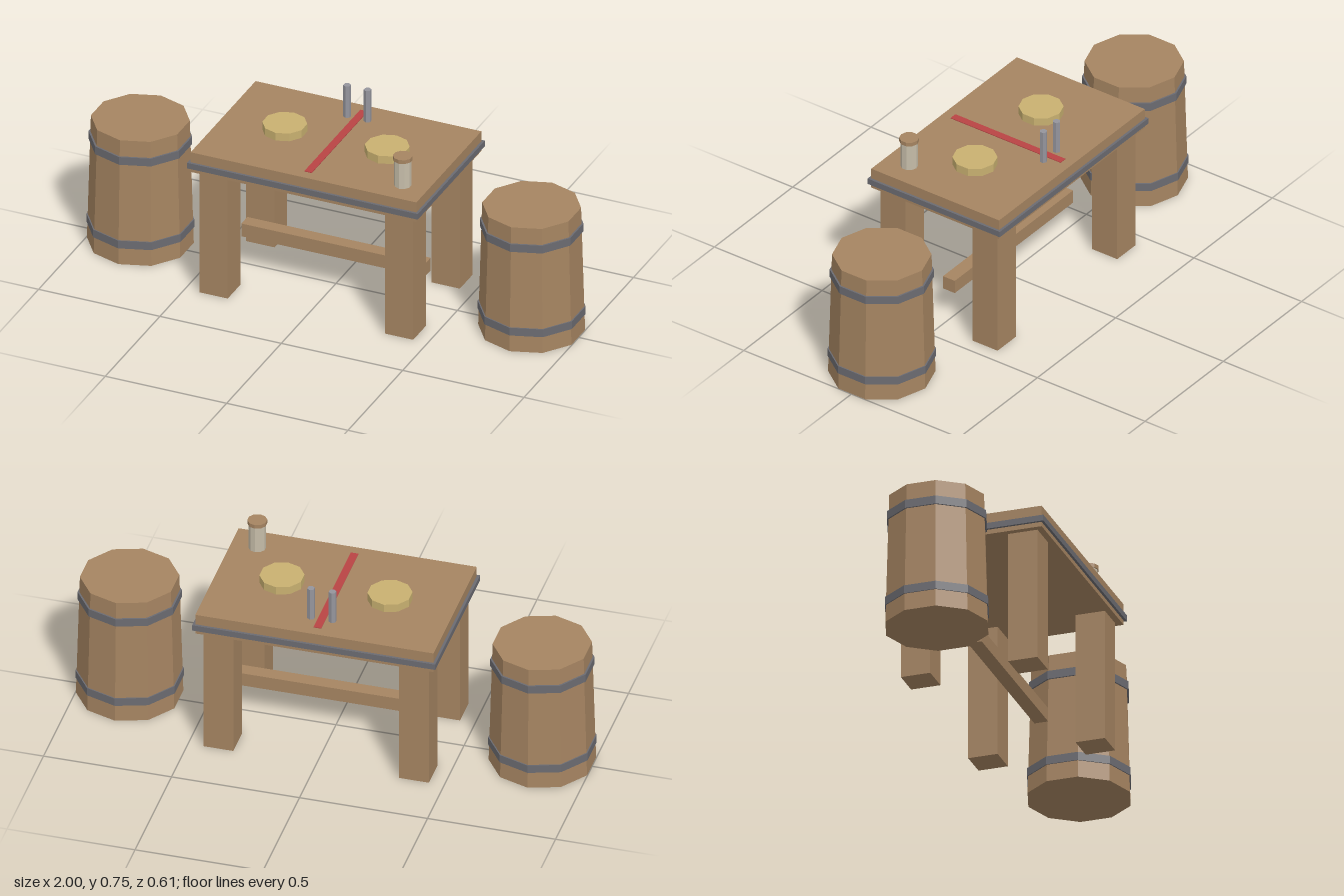
import * as THREE from 'three';

const mat = (name, color) => {
  const m = new THREE.MeshStandardMaterial({ color, flatShading: true });
  m.name = name;
  return m;
};

export function createModel() {
  const wood = mat('wood', 0xa58461);
  const iron = mat('iron', 0x6b6b71);
  const steel = mat('steel', 0x94949c);
  const gold = mat('straw', 0xc8b070);
  const pewter = mat('pewter', 0xc6bda9);
  const red = mat('red', 0xb84444);

  const model = new THREE.Group();
  model.name = 'tableWithBarrels';

  const add = (name, geometry, material, x, y, z, parent = model) => {
    const mesh = new THREE.Mesh(geometry, material);
    mesh.name = name;
    mesh.position.set(x, y, z);
    parent.add(mesh);
    return mesh;
  };
  // Box and faceted cylinder placed by their bottom and top heights
  const box = (name, m, w, d, y0, y1, x = 0, z = 0, parent = model) =>
    add(name, new THREE.BoxGeometry(w, y1 - y0, d), m, x, (y0 + y1) / 2, z, parent);
  const drum = (name, m, rTop, rBottom, sides, y0, y1, x = 0, z = 0, parent = model) =>
    add(name, new THREE.CylinderGeometry(rTop, rBottom, y1 - y0, sides), m, x, (y0 + y1) / 2, z, parent);

  // Table
  const table = new THREE.Group();
  table.name = 'table';
  model.add(table);
  box('tableTop', wood, 0.93, 0.594, 0.527, 0.612, 0, 0, table);
  box('tableBand', iron, 0.95, 0.614, 0.545, 0.569, 0, 0, table);
  box('stretcher', wood, 0.755, 0.055, 0.13, 0.185, 0, 0, table);
  for (const sx of [-1, 1])
    for (const sz of [-1, 1])
      box('tableLeg', wood, 0.117, 0.117, 0, 0.527, sx * 0.382, sz * 0.2135, table);

  // Barrel seats with two hoops each
  for (const sx of [-1, 1]) {
    const barrel = new THREE.Group();
    barrel.name = sx > 0 ? 'leftBarrel' : 'rightBarrel';
    barrel.position.x = sx * 0.806;
    model.add(barrel);
    drum('barrelBody', wood, 0.187, 0.202, 10, 0, 0.527, 0, 0, barrel);
    drum('lowerHoop', iron, 0.204, 0.204, 10, 0.069, 0.102, 0, 0, barrel);
    drum('upperHoop', iron, 0.196, 0.196, 10, 0.426, 0.459, 0, 0, barrel);
  }

  // Things on the table
  box('centreStripe', red, 0.03, 0.51, 0.611, 0.615);
  for (const sx of [-1, 1]) {
    drum('roundPad', gold, 0.085, 0.085, 10, 0.612, 0.645, sx * 0.211);
    drum('peg', steel, 0.015, 0.015, 6, 0.612, 0.747, sx * 0.042, -0.195);
  }
  drum('mug', pewter, 0.0335, 0.0335, 10, 0.612, 0.723, 0.363, 0.195);
  drum('mugLid', wood, 0.0375, 0.0375, 10, 0.722, 0.738, 0.363, 0.195);

  return model;
}
